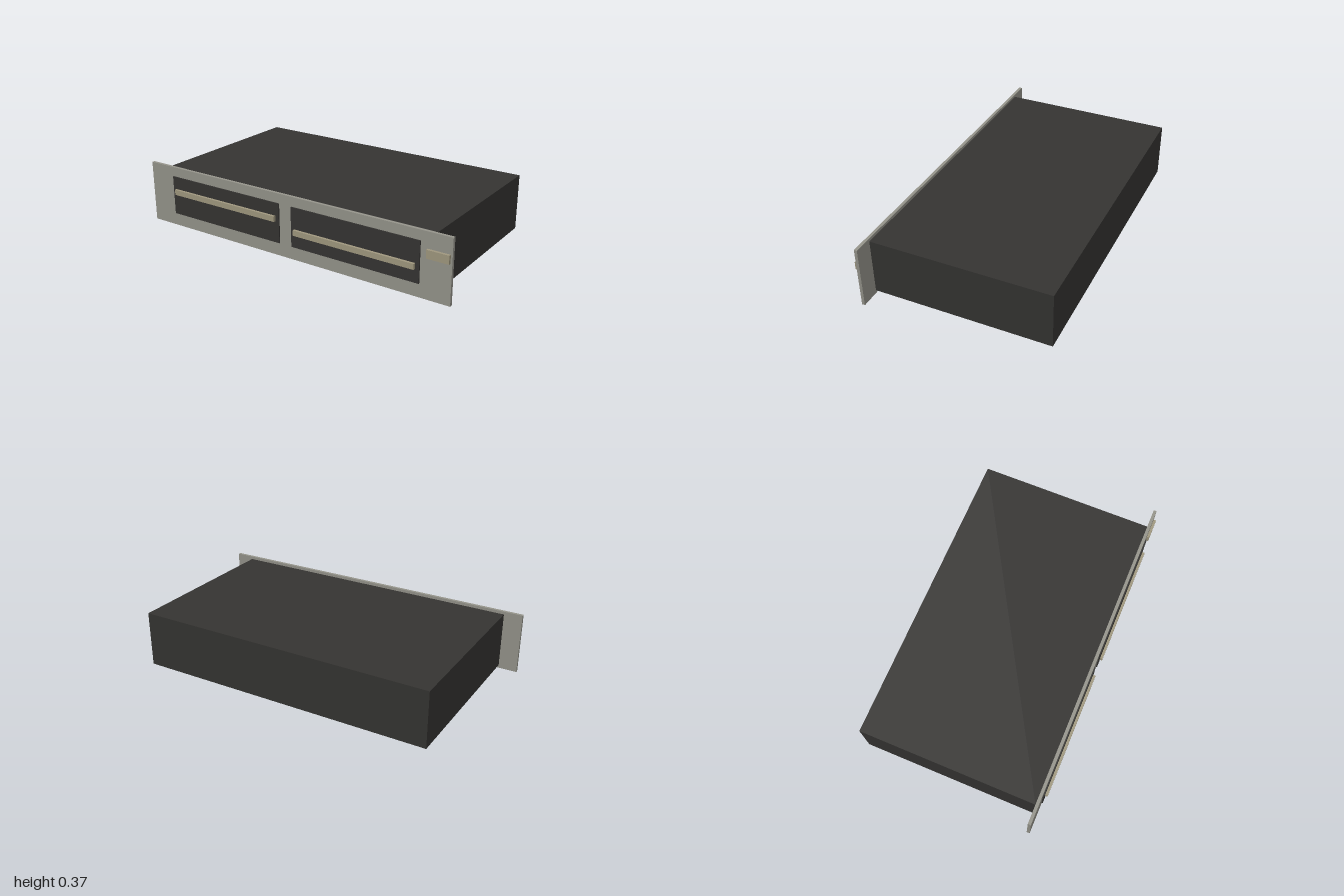
import * as THREE from 'three';

const dark = new THREE.MeshStandardMaterial({ color: 0x353432 });
const grey = new THREE.MeshStandardMaterial({ color: 0x95948b });
const beige = new THREE.MeshStandardMaterial({ color: 0xa0987f });

// Box given by its minimum and maximum corners
function block(name, material, [x0, y0, z0], [x1, y1, z1]) {
  const mesh = new THREE.Mesh(new THREE.BoxGeometry(x1 - x0, y1 - y0, z1 - z0), material);
  mesh.position.set((x0 + x1) / 2, (y0 + y1) / 2, (z0 + z1) / 2);
  mesh.name = name;
  return mesh;
}

export function createModel() {
  const model = new THREE.Group();
  model.name = 'rackUnit';

  // Enclosure and the wider mounting plate in front of it
  model.add(block('chassis', dark, [-0.89, 0.018, -0.538], [0.89, 0.348, 0.498]));
  model.add(block('frontPlate', grey, [-1, 0, 0.498], [1, 0.365, 0.516]));

  // Two bays, each with a slim bar at its own height
  for (const [side, sign, barY] of [['right', -1, 0.219], ['left', 1, 0.169]]) {
    const bay = new THREE.Group();
    bay.name = side + 'Bay';
    const x = sign * 0.434;
    bay.add(block(side + 'Panel', dark, [x - 0.393, 0.077, 0.516], [x + 0.393, 0.309, 0.523]));
    bay.add(block(side + 'Bar', beige, [x - 0.37, barY - 0.016, 0.523], [x + 0.37, barY + 0.016, 0.538]));
    model.add(bay);
  }

  // Small tab near the edge of the plate
  model.add(block('tab', beige, [0.865, 0.228, 0.516], [0.99, 0.275, 0.531]));

  return model;
}
